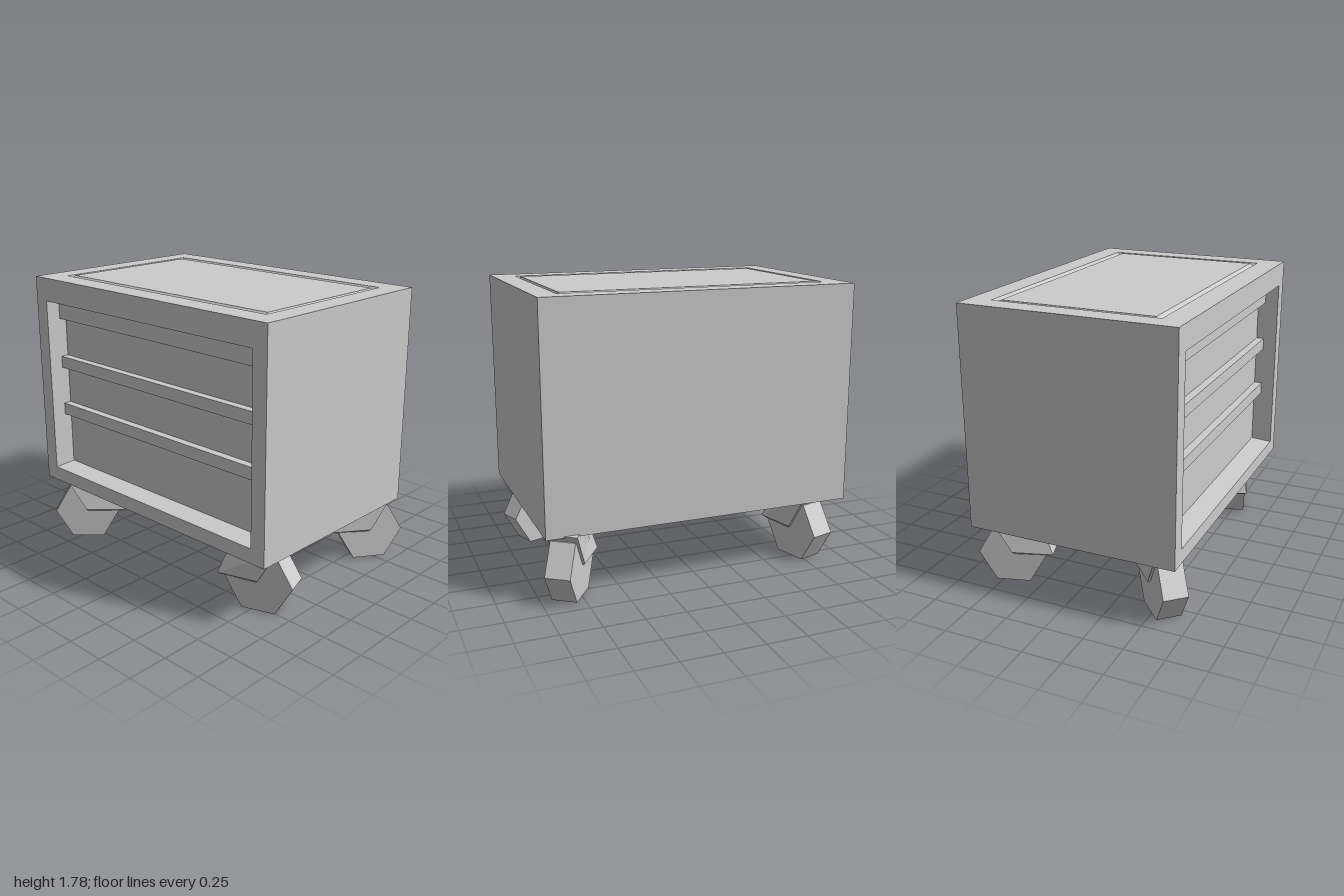
import * as THREE from 'three';

const grey = new THREE.MeshStandardMaterial({ color: 0xcccccc, flatShading: true });

// Four-cornered rings joined by quads; the last ring is closed, the first optionally.
function loft(rings, closeStart = false) {
  const pos = [];
  const quad = (a, b, c, d) => [a, b, c, a, c, d].forEach(p => pos.push(...p));
  for (let k = 0; k + 1 < rings.length; k++) {
    const a = rings[k], b = rings[k + 1];
    for (let i = 0; i < 4; i++) {
      const j = (i + 1) % 4;
      quad(a[i], a[j], b[j], b[i]);
    }
  }
  quad(...rings[rings.length - 1]);
  if (closeStart) quad(...[...rings[0]].reverse());
  const g = new THREE.BufferGeometry();
  g.setAttribute('position', new THREE.Float32BufferAttribute(pos, 3));
  g.computeVertexNormals();
  return g;
}

// Counter-clockwise rectangle, placed on a face by map(u, v).
const rect = (u0, u1, v0, v1, map) =>
  [[u0, v0], [u1, v0], [u1, v1], [u0, v1]].map(([u, v]) => map(u, v));

function add(parent, name, geometry) {
  const mesh = new THREE.Mesh(geometry, grey);
  mesh.name = name;
  parent.add(mesh);
  return mesh;
}

const X0 = -1, X1 = 0.97, Y0 = 0.4, Y1 = 1.785, Z0 = -0.63, Z1 = 0.7;

function cabinet() {
  const g = new THREE.Group();
  g.name = 'cabinet';

  // front frame with a deep, slightly tapered recess
  const front = z => (u, v) => [u, v, z];
  const recessZ = Z1 - 0.135;
  add(g, 'frontFrame', loft([
    rect(X0, X1, Y0, Y1, front(Z1)),
    rect(-0.9, 0.87, 0.492, 1.636, front(Z1)),
    rect(-0.888, 0.858, 0.506, 1.62, front(recessZ)),
  ]));

  // top with a V-shaped groove around the centre panel
  const top = y => (u, v) => [u, y, -v];
  add(g, 'topPanel', loft([
    rect(X0, X1, -Z1, -Z0, top(Y1)),
    rect(-0.86, 0.83, -0.55, 0.49, top(Y1)),
    rect(-0.845, 0.812, -0.53, 0.472, top(Y1 - 0.02)),
    rect(-0.835, 0.802, -0.508, 0.442, top(Y1)),
  ]));

  // plain walls
  add(g, 'backWall', loft([rect(-X1, -X0, Y0, Y1, (u, v) => [-u, v, Z0])]));
  add(g, 'leftWall', loft([rect(-Z1, -Z0, Y0, Y1, (u, v) => [X1, v, -u])]));
  add(g, 'rightWall', loft([rect(Z0, Z1, Y0, Y1, (u, v) => [X0, v, u])]));
  add(g, 'bottomWall', loft([rect(X0, X1, Z0, Z1, (u, v) => [u, Y0, v])]));

  // drawer grips across the recess
  for (const [y0, y1] of [[1.51, 1.625], [1.18, 1.257], [0.855, 0.932]]) {
    const grip = add(g, 'drawerGrip', new THREE.BoxGeometry(1.746, y1 - y0, 0.06));
    grip.position.set(-0.015, (y0 + y1) / 2, recessZ + 0.02);
  }
  return g;
}

// Swivel caster: local x points to the fork tip, local z is the axle.
function caster(name, x, z, degrees) {
  const g = new THREE.Group();
  g.name = name;
  const wheel = new THREE.CylinderGeometry(0.2136, 0.2136, 0.156, 6);
  wheel.rotateY(Math.PI / 6).rotateX(Math.PI / 2);
  add(g, 'wheel', wheel).position.y = 0.185;

  // fork section at height y: back and front ends with their half widths
  const section = (y, t0, w0, t1, w1) =>
    [[t0, y, w0], [t1, y, w1], [t1, y, -w1], [t0, y, -w0]];
  add(g, 'fork', loft([
    section(0.185, 0.015, 0.08, 0.235, 0.07),
    section(0.2, 0, 0.095, 0.258, 0.09),
    section(0.41, -0.12, 0.095, 0.18, 0.055),
  ], true));

  g.position.set(x, 0, z);
  g.rotation.y = THREE.MathUtils.degToRad(degrees);
  return g;
}

export function createModel() {
  const model = new THREE.Group();
  model.name = 'rollingDrawerCabinet';
  model.add(cabinet());
  model.add(caster('frontLeftCaster', 0.765, 0.465, 199));
  model.add(caster('frontRightCaster', -0.777, 0.54, 43));
  model.add(caster('backLeftCaster', 0.805, -0.525, 235));
  model.add(caster('backRightCaster', -0.777, -0.46, 286));
  return model;
}
